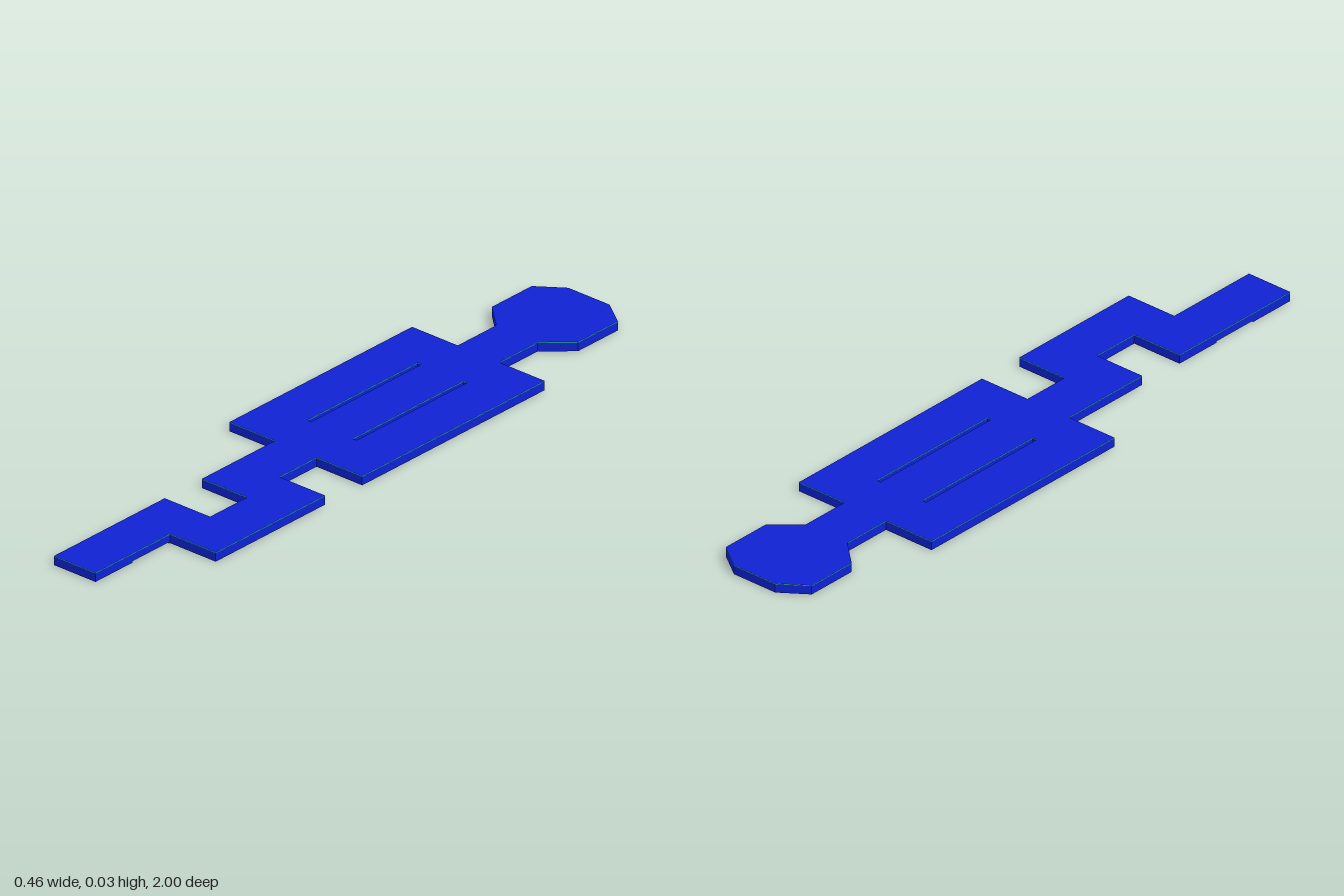
import * as THREE from 'three';

export function createModel() {
  const group = new THREE.Group();
  const blue = new THREE.MeshStandardMaterial({ color: 0x0e22d2 });
  blue.name = 'deep blue';
  const teal = new THREE.MeshStandardMaterial({ color: 0x2fc4be });
  teal.name = 'teal';

  const N = 0.071, W = 0.228, H = 0.148, S = 0.085; // neck, body, head and slot half widths

  // Plan outlines are lists of [x, z]
  const toShape = pts => new THREE.Shape(pts.map(([x, z]) => new THREE.Vector2(x, -z)));
  const upper = [[N, 0.71], [W, 0.71], [W, 0.285], [N, 0.285], [N, 0.14], [W, 0.14], [W, -0.57],
    [N, -0.57], [N, -0.72], [H, -0.79], [H, -0.945], [N, -1], [-N, -1], [-H, -0.945], [-H, -0.79],
    [-N, -0.72], [-N, -0.57], [-W, -0.57], [-W, 0.14], [-N, 0.14], [-N, 0.425], [S, 0.425],
    [S, 0.57], [-N, 0.57]];
  const withSlots = pts => {
    const shape = toShape(pts);
    for (const s of [-1, 1]) {
      shape.holes.push(toShape([[s * N, -0.43], [s * S, -0.43], [s * S, 0], [s * N, 0]]));
    }
    return shape;
  };
  const full = withSlots([...upper, [-N, 1], [N, 1]]);
  const rear = withSlots([...upper, [-N, 0.713], [N, 0.713]]);
  const tip = toShape([[-N, 0.856], [N, 0.856], [N, 1], [-N, 1]]);

  const add = (name, geometry, y, material) => {
    geometry.rotateX(-Math.PI / 2);
    geometry.translate(0, y, 0);
    const mesh = new THREE.Mesh(geometry, material);
    mesh.name = name;
    group.add(mesh);
  };
  const layer = (name, shape, y0, y1, material) =>
    add(name, new THREE.ExtrudeGeometry(shape, { depth: y1 - y0, bevelEnabled: false }), y0, material);

  // Flat plate with a shallow notch beneath the narrow end
  layer('plate', full, 0.005, 0.0245, blue);
  layer('plateUnderside', rear, 0, 0.005, blue);
  layer('tipUnderside', tip, 0, 0.005, blue);
  layer('contactPad', toShape([[-N, 0.713], [N, 0.713], [N, 0.856], [-N, 0.856]]), 0.004, 0.005, teal);

  // Thin teal rim under the blue top face
  layer('rim', full, 0.0245, 0.0265, teal);
  add('topFace', new THREE.ShapeGeometry(full), 0.027, blue);
  return group;
}
